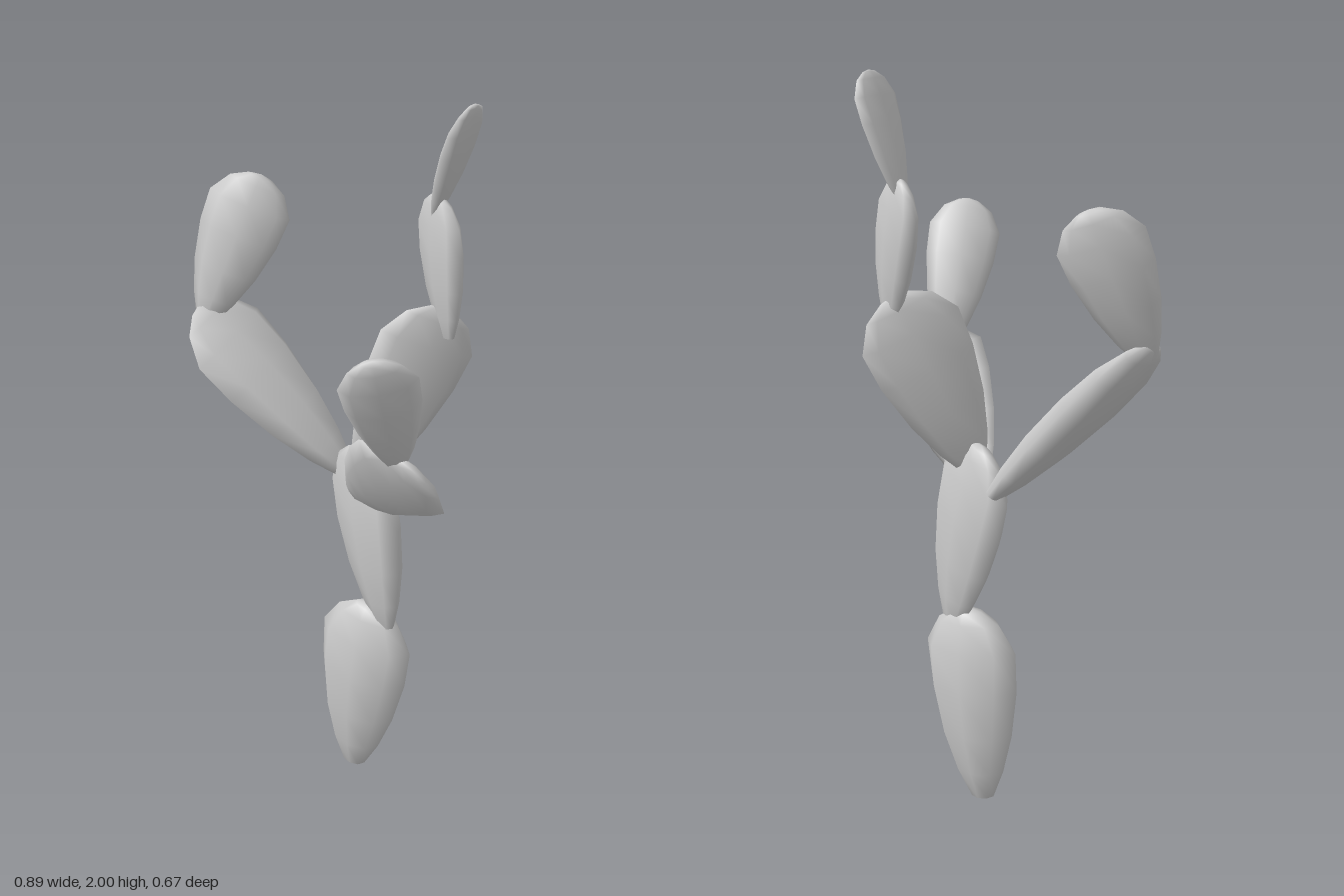
import * as THREE from 'three';
import { mergeVertices } from 'three/addons/utils/BufferGeometryUtils.js';

const material = new THREE.MeshStandardMaterial({ color: 0xcccccc });

// Pad outline along its length: [position, half width, half thickness], as fractions
const PROFILE = [
  [0, 0, 0], [0.015, 0.24, 0.36], [0.16, 0.51, 0.68], [0.36, 0.77, 0.94],
  [0.6, 0.96, 1], [0.8, 1, 0.83], [0.93, 0.68, 0.55], [0.985, 0.3, 0.34], [1, 0, 0],
];

// Flattened, low-sided ovoid from base to tip; across is the direction of its broad side
function makePad(name, base, tip, across, width, thickness) {
  const from = new THREE.Vector3(...base);
  const axis = new THREE.Vector3(...tip).sub(from);
  const length = axis.length();
  axis.normalize();
  const side = new THREE.Vector3(...across);
  side.addScaledVector(axis, -side.dot(axis)).normalize();
  const normal = new THREE.Vector3().crossVectors(side, axis);

  let geometry = new THREE.LatheGeometry(
    PROFILE.map(([t, w]) => new THREE.Vector2(w * width / 2, t * length)), 8);
  const pos = geometry.attributes.position;
  for (let i = 0; i < pos.count; i++) {
    const [, w, d] = PROFILE[i % PROFILE.length];
    if (w > 0) pos.setZ(i, pos.getZ(i) * (d * thickness) / (w * width));
  }
  // Weld the seam and poles so shading stays smooth
  geometry.deleteAttribute('uv');
  geometry.deleteAttribute('normal');
  geometry = mergeVertices(geometry, 1e-5);
  geometry.applyMatrix4(new THREE.Matrix4().makeBasis(side, axis, normal).setPosition(from));
  geometry.computeVertexNormals();

  const mesh = new THREE.Mesh(geometry, material);
  mesh.name = name;
  return mesh;
}

// name, base, tip, across, width, thickness
const PADS = [
  // trunk
  ['lowerTrunkPad', [0.055, 0, -0.13], [0.1, 0.565, -0.13], [1, 0, 0], 0.285, 0.15],
  ['upperTrunkPad', [0.155, 0.505, -0.125], [0.045, 1.04, -0.14], [0.93, 0, 0.37], 0.29, 0.105],
  // right branch
  ['rightArmPad', [-0.015, 0.925, -0.185], [-0.415, 1.365, -0.065], [0.08, -0.22, 0.96], 0.3, 0.11],
  ['rightTipPad', [-0.4, 1.32, -0.07], [-0.3, 1.715, -0.2], [0.85, -0.35, -0.39], 0.225, 0.095],
  // left branch
  ['leftArmPad', [0.07, 0.915, -0.105], [0.395, 1.205, 0.15], [0.74, -0.63, -0.25], 0.285, 0.09],
  ['leftTipPad', [0.335, 1.19, 0.125], [0.375, 1.565, 0.315], [0.83, 0.16, -0.54], 0.195, 0.09],
  // rear branch
  ['rearArmPad', [0.08, 0.955, -0.11], [0.225, 1.445, -0.265], [0.65, -0.4, -0.76], 0.275, 0.085],
  ['rearMiddlePad', [0.25, 1.365, -0.25], [0.19, 1.745, -0.27], [0.87, 0.1, 0.5], 0.205, 0.07],
  ['rearTipPad', [0.19, 1.69, -0.265], [0.295, 2, -0.25], [0, 0, 1], 0.165, 0.045],
];

export function createModel() {
  const group = new THREE.Group();
  group.name = 'padCactus';
  for (const pad of PADS) group.add(makePad(...pad));
  return group;
}
